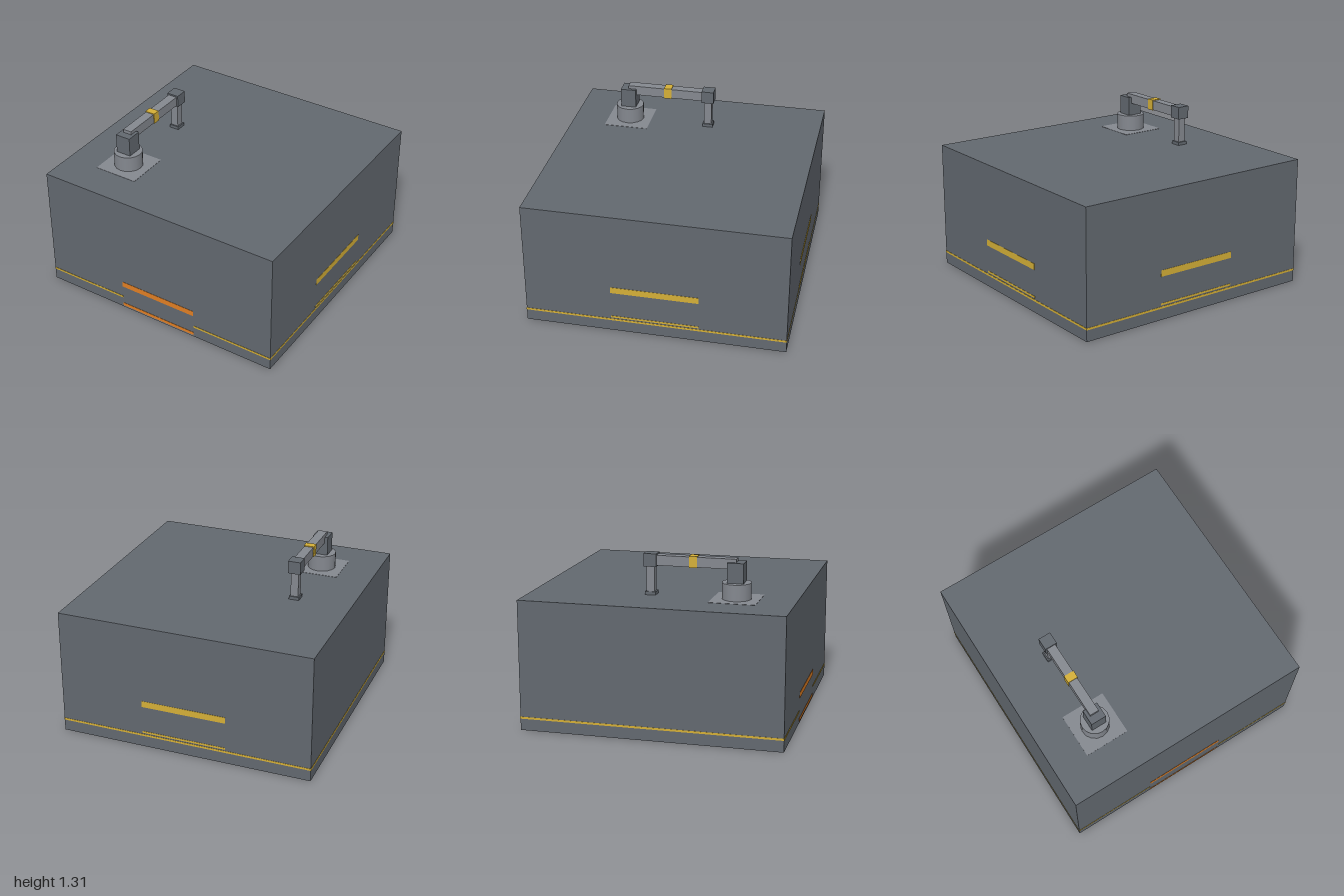
import * as THREE from 'three';

const material = (color) => new THREE.MeshStandardMaterial({ color });

export function createModel() {
  const model = new THREE.Group();
  model.name = 'roomBlockWithArm';
  const dark = material(0x62686f);
  const light = material(0x84888f);
  const yellow = material(0xd4af37);
  const orange = material(0xe07f24);

  // Adds a box given by its extents on each axis
  function box(name, mat, [x0, x1], [y0, y1], [z0, z1], parent = model) {
    const mesh = new THREE.Mesh(new THREE.BoxGeometry(x1 - x0, y1 - y0, z1 - z0), mat);
    mesh.position.set((x0 + x1) / 2, (y0 + y1) / 2, (z0 + z1) / 2);
    mesh.name = name;
    parent.add(mesh);
    return mesh;
  }

  // Main block; the markings stand just proud of its faces
  const s = 0.998;
  box('body', dark, [-s, s], [0.001, 1], [-s, s]);

  // Thin line around the base, open at the front entrance
  const lineY = [0.09, 0.106];
  for (const [x0, x1] of [[-1, -0.328], [0.328, 1]]) {
    box('frontBaseLine', yellow, [x0, x1], lineY, [0.99, 1]);
  }
  box('backBaseLine', yellow, [-1, 1], lineY, [-1, -0.99]);
  for (const side of [-1, 1]) {
    const x = side < 0 ? [-1, -0.99] : [0.99, 1];
    box('sideBaseLine', yellow, x, lineY, [-1, 1]);
  }

  // Entrance markings and threshold at the front
  box('entranceUpperStripe', orange, [-0.328, 0.325], [0.2, 0.245], [0.99, 1]);
  box('entranceLowerStripe', orange, [-0.328, 0.325], [0.014, 0.04], [0.99, 1]);
  box('threshold', light, [-0.328, 0.325], [0, 0.01], [0.93, 0.998]);

  // Opening stripes on the back and the +x side
  for (const y of [[0.34, 0.39], [0.117, 0.132]]) {
    box('backStripe', yellow, [-0.335, 0.335], y, [-1, -0.99]);
    box('sideStripe', yellow, [0.99, 1], y, [-0.335, 0.335]);
  }

  // Arm on the roof, built around its base axis
  const arm = new THREE.Group();
  arm.name = 'arm';
  arm.position.set(-0.553, 1, 0.55);
  model.add(arm);
  const part = (name, mat, w, y, z) => box(name, mat, [-w / 2, w / 2], y, z, arm);

  part('mountingPlate', light, 0.352, [-0.002, 0.002], [-0.176, 0.174]);
  const base = new THREE.Mesh(new THREE.CylinderGeometry(0.11, 0.11, 0.125, 16), light);
  base.name = 'armBase';
  base.position.y = 0.0625;
  arm.add(base);
  // Darker cap on the base
  const cap = new THREE.Mesh(new THREE.CircleGeometry(0.11, 16).rotateX(-Math.PI / 2), light);
  cap.name = 'armBaseCap';
  cap.position.y = 0.126;
  arm.add(cap);

  part('shoulder', dark, 0.122, [0.125, 0.276], [-0.061, 0.061]);
  part('beam', light, 0.072, [0.226, 0.302], [-0.65, 0.002]);
  part('beamBand', yellow, 0.082, [0.222, 0.308], [-0.352, -0.292]);
  part('elbow', dark, 0.098, [0.216, 0.314], [-0.697, -0.6]);
  part('forearm', light, 0.06, [0.02, 0.22], [-0.679, -0.618]);
  part('gripper', dark, 0.08, [0, 0.025], [-0.69, -0.608]);

  return model;
}
